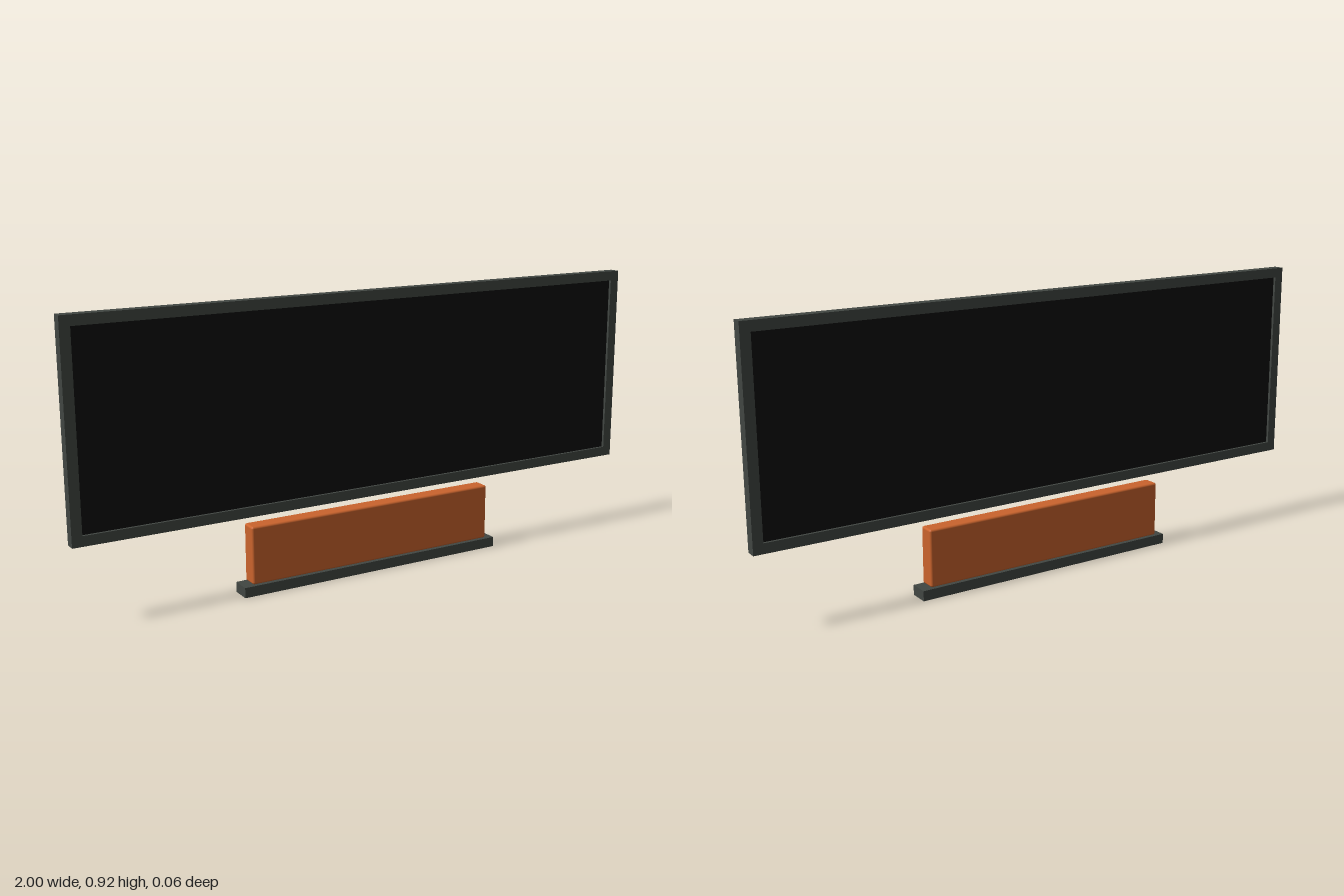
import * as THREE from 'three';
import { RoundedBoxGeometry } from 'three/addons/geometries/RoundedBoxGeometry.js';

export function createModel() {
  const group = new THREE.Group();
  const mat = (name, color) => {
    const m = new THREE.MeshStandardMaterial({ color });
    m.name = name;
    return m;
  };
  const frameGrey = mat('frame grey', 0x414642);
  const panelBlack = mat('panel black', 0x0d0d0d);
  const orange = mat('orange', 0xcb642d);

  const add = (name, geometry, material, x, y) => {
    const mesh = new THREE.Mesh(geometry, material);
    mesh.name = name;
    mesh.position.set(x, y, 0);
    group.add(mesh);
  };
  const box = (w, h, d) => new THREE.BoxGeometry(w, h, d);

  const bar = 0.032, depth = 0.036;
  const bottom = 0.252, top = 0.917, mid = (bottom + top) / 2;
  const innerHeight = top - bottom - 2 * bar;

  // Screen frame: full-width rails with posts between them
  add('topRail', box(2, bar, depth), frameGrey, 0, top - bar / 2);
  add('bottomRail', box(2, bar, depth), frameGrey, 0, bottom + bar / 2);
  for (const [name, side] of [['leftPost', 1], ['rightPost', -1]]) {
    add(name, box(bar, innerHeight, depth), frameGrey, side * (1 - bar / 2), mid);
  }

  // Dark panel, recessed on both faces
  add('screenPanel', box(2 - 2 * bar, innerHeight, 0.018), panelBlack, 0, mid);

  // Softly rounded body, standing free below the screen
  add('standBody', new RoundedBoxGeometry(0.884, 0.187, 0.054, 3, 0.007), orange, 0, 0.1285);

  // Foot plate
  add('footPlate', box(0.944, 0.033, 0.064), frameGrey, 0, 0.0165);

  return group;
}
